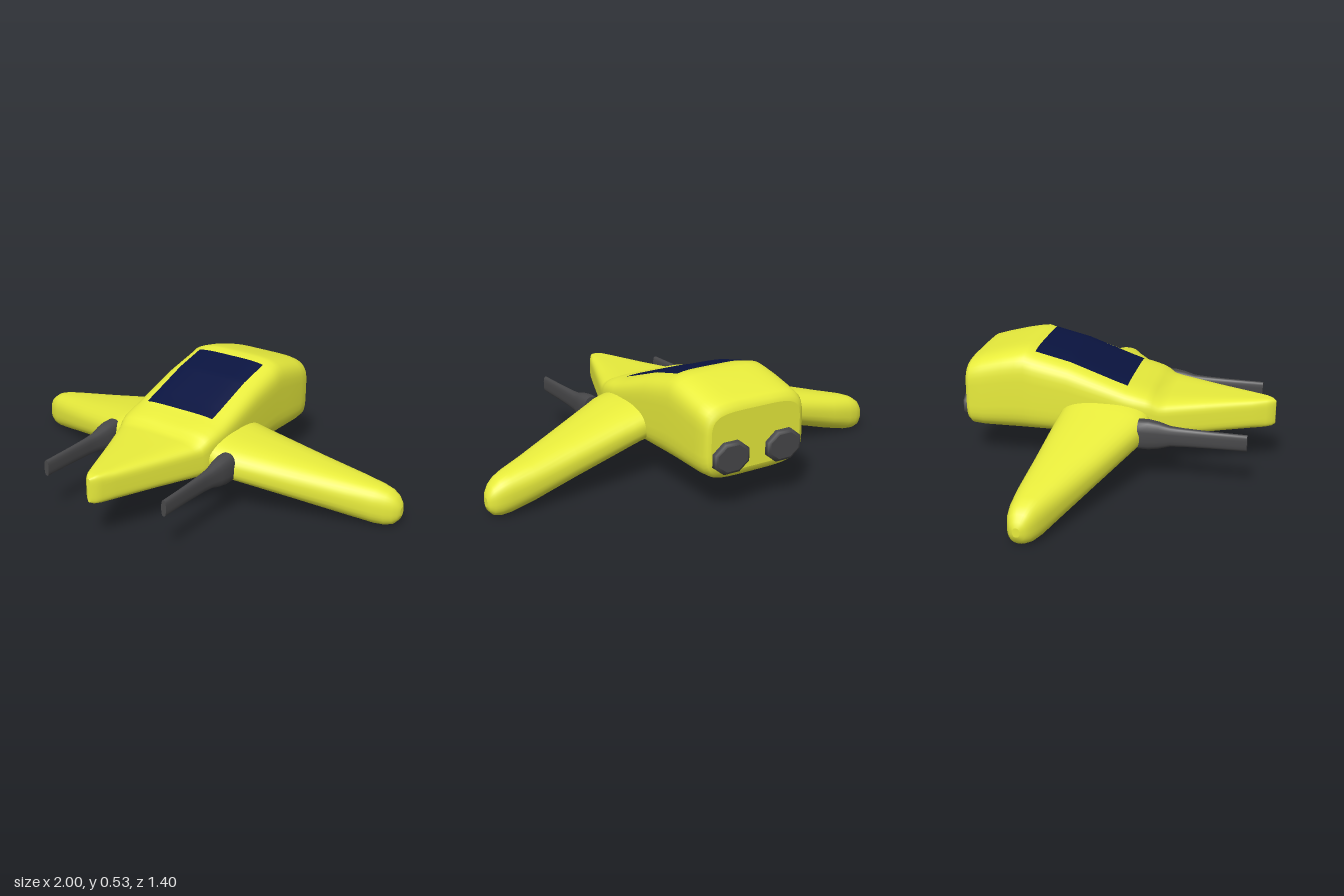
import * as THREE from 'three';

// Skin a row of superellipse sections [pos, u0, u1, v0, v1], ascending in pos.
// axis 'z': u = x, v = y; axis 'x': u = y, v = z.
function loft(sections, axis, power, sides) {
  const verts = [], index = [];
  const put = (p, u, v) => verts.push(...(axis === 'z' ? [u, v, p] : [p, u, v]));
  const soft = (c) => Math.sign(c) * Math.pow(Math.abs(c), 2 / power);
  const ring = ([p, u0, u1, v0, v1]) => {
    for (let j = 0; j < sides; j++) {
      const a = ((j + 0.5) / sides) * Math.PI * 2;
      put(p, (u0 + u1) / 2 + ((u1 - u0) / 2) * soft(Math.cos(a)),
        (v0 + v1) / 2 + ((v1 - v0) / 2) * soft(Math.sin(a)));
    }
  };
  sections.forEach(ring);
  for (let i = 0; i < sections.length - 1; i++) {
    for (let j = 0; j < sides; j++) {
      const k = (j + 1) % sides;
      const a = i * sides + j, b = i * sides + k;
      index.push(a, b, a + sides, b, b + sides, a + sides);
    }
  }
  // flat end caps with their own rim vertices
  [[sections[0], true], [sections[sections.length - 1], false]].forEach(([s, first]) => {
    const base = verts.length / 3;
    ring(s);
    put(s[0], (s[1] + s[2]) / 2, (s[3] + s[4]) / 2);
    for (let j = 0; j < sides; j++) {
      const a = base + j, b = base + ((j + 1) % sides), c = base + sides;
      if (first) index.push(b, a, c);
      else index.push(a, b, c);
    }
  });
  const g = new THREE.BufferGeometry();
  g.setAttribute('position', new THREE.Float32BufferAttribute(verts, 3));
  g.setIndex(index);
  g.computeVertexNormals();
  return g;
}

// Hull profile: z, half width, bottom, top
const HULL = [
  [-0.68, 0.225, 0.18, 0.435], [-0.674, 0.242, 0.16, 0.455], [-0.655, 0.253, 0.145, 0.472],
  [-0.6, 0.257, 0.141, 0.49], [-0.5, 0.258, 0.142, 0.518], [-0.44, 0.258, 0.143, 0.531],
  [-0.4, 0.258, 0.143, 0.537], [-0.36, 0.258, 0.144, 0.525], [-0.2, 0.258, 0.147, 0.487],
  [0, 0.258, 0.152, 0.415], [0.06, 0.257, 0.153, 0.395], [0.1, 0.256, 0.155, 0.386],
  [0.15, 0.25, 0.157, 0.373], [0.18, 0.242, 0.159, 0.36], [0.205, 0.232, 0.16, 0.342],
  [0.24, 0.217, 0.162, 0.337], [0.4, 0.15, 0.172, 0.331], [0.6, 0.068, 0.184, 0.325],
  [0.66, 0.042, 0.188, 0.322], [0.685, 0.026, 0.192, 0.317], [0.7, 0.008, 0.2, 0.308],
];
const HULL_POWER = 4.5;

// Height of the hull's upper skin
function hullTop(x, z) {
  const i = HULL.findIndex((s) => s[0] >= z);
  const a = HULL[i - 1], b = HULL[i], t = (z - a[0]) / (b[0] - a[0]);
  const [w, lo, hi] = [1, 2, 3].map((k) => a[k] + (b[k] - a[k]) * t);
  const rise = Math.pow(1 - Math.pow(Math.abs(x) / w, HULL_POWER), 1 / HULL_POWER);
  return (lo + hi) / 2 + ((hi - lo) / 2) * rise;
}

export function createModel() {
  const model = new THREE.Group();
  const yellow = new THREE.MeshStandardMaterial({ color: 0xe8ec3c });
  const navy = new THREE.MeshStandardMaterial({ color: 0x0a1440, side: THREE.DoubleSide });
  const dark = new THREE.MeshStandardMaterial({ color: 0x48484a });
  const add = (name, geometry, material, x = 0, y = 0) => {
    const mesh = new THREE.Mesh(geometry, material);
    mesh.name = name;
    mesh.position.set(x, y, 0);
    model.add(mesh);
  };

  // Fuselage with pointed nose
  add('fuselage', loft(HULL.map(([z, w, lo, hi]) => [z, -w, w, lo, hi]), 'z', HULL_POWER, 48), yellow);

  // Windscreen laid just over the sloping roof
  const glass = new THREE.PlaneGeometry(0.36, 0.42, 12, 21).rotateX(-Math.PI / 2);
  const p = glass.attributes.position;
  for (let i = 0; i < p.count; i++) {
    const z = p.getZ(i) - 0.15;
    p.setXYZ(i, p.getX(i), hullTop(p.getX(i), z) + 0.004, z);
  }
  glass.computeVertexNormals();
  add('windscreen', glass, navy);

  // Drooping wings: x, bottom, top, trailing edge, leading edge
  const wing = [
    [0.2, 0.165, 0.34, -0.23, 0.17], [0.26, 0.155, 0.33, -0.232, 0.178],
    [0.31, 0.143, 0.318, -0.235, 0.172], [0.36, 0.131, 0.306, -0.238, 0.148],
    [0.6, 0.073, 0.25, -0.25, 0.038], [0.8, 0.025, 0.203, -0.261, -0.056],
    [0.9, 0.005, 0.18, -0.26, -0.1], [0.945, 0.003, 0.164, -0.254, -0.124],
    [0.975, 0.012, 0.142, -0.244, -0.145], [0.993, 0.032, 0.115, -0.23, -0.165],
    [1.0, 0.052, 0.092, -0.215, -0.185],
  ];
  // Guns: z, half width, half height about their own centre line
  const gun = [[0.14, 0.04, 0.067], [0.185, 0.04, 0.067], [0.23, 0.034, 0.06], [0.28, 0.024, 0.046],
    [0.34, 0.019, 0.042], [0.45, 0.015, 0.039], [0.61, 0.012, 0.037]];
  // Exhausts: z, half width, half height
  const exhaust = [[-0.704, 0.078, 0.058], [-0.699, 0.09, 0.069], [-0.69, 0.094, 0.074], [-0.66, 0.094, 0.074]];
  const around = (rows) => rows.map(([z, w, h]) => [z, -w, w, -h, h]);

  for (const [side, s] of [['left', 1], ['right', -1]]) {
    const rows = s > 0 ? wing : wing.map(([x, ...rest]) => [-x, ...rest]).reverse();
    add(side + 'Wing', loft(rows, 'x', 2.5, 32), yellow);
    add(side + 'Gun', loft(around(gun), 'z', 2.8, 16), dark, s * 0.317, 0.231);
    add(side + 'Exhaust', loft(around(exhaust), 'z', 2, 8), dark, s * 0.133, 0.243);
  }
  return model;
}
